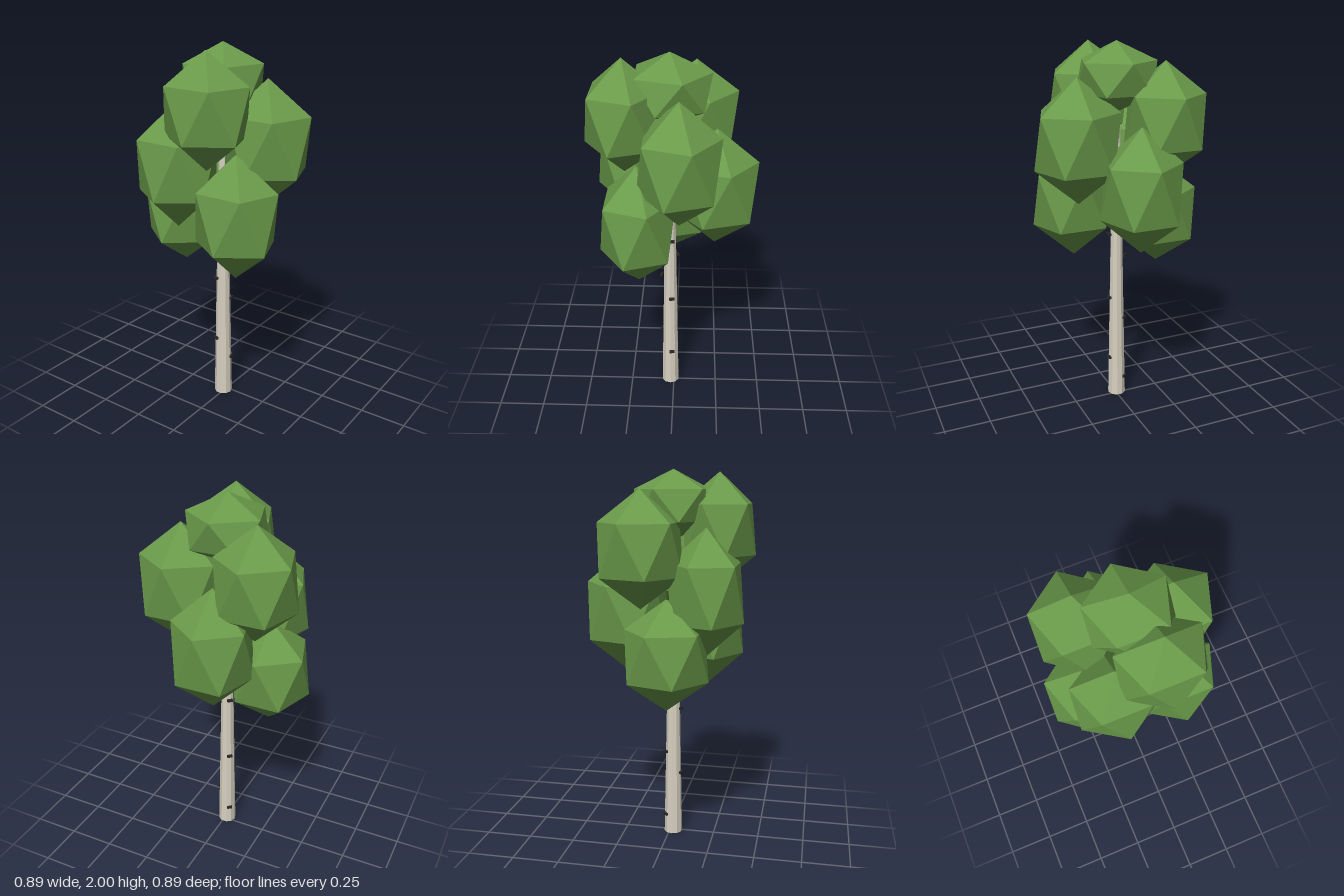
import * as THREE from 'three';
import { toCreasedNormals } from 'three/addons/utils/BufferGeometryUtils.js';

function material(name, color) {
  const m = new THREE.MeshStandardMaterial({ color });
  m.name = name;
  return m;
}

export function createModel() {
  const tree = new THREE.Group();
  tree.name = 'tree';
  const bark = material('pale bark', 0xd6d0c0);
  const dark = material('dark bark marks', 0x2b2826);
  const leaf = material('leaf green', 0x6a9a4a);
  const axisX = -0.02, axisZ = -0.01;

  // Tapered, faceted trunk
  const height = 1.6;
  const trunk = new THREE.Mesh(
    toCreasedNormals(new THREE.CylinderGeometry(0.021, 0.05, height, 10), 0.1), bark);
  trunk.name = 'trunk';
  trunk.position.set(axisX, height / 2, axisZ);
  tree.add(trunk);

  // Bark marks spiralling up the trunk, a third of a turn apart
  const markGeometry = new THREE.BoxGeometry(0.03, 0.014, 0.012);
  for (let i = 0; i < 8; i++) {
    const angle = THREE.MathUtils.degToRad(131 - 120 * i);
    const mark = new THREE.Mesh(markGeometry, dark);
    mark.name = `barkMark${i + 1}`;
    mark.position.set(axisX + 0.05 * Math.sin(angle), 0.11 + 0.1245 * i, axisZ + 0.05 * Math.cos(angle));
    mark.rotation.y = angle;
    tree.add(mark);
  }

  // Icosahedron standing on a corner, with an upper-ring corner towards +x
  const clump = new THREE.IcosahedronGeometry(1, 0);
  clump.rotateX(-Math.atan((1 + Math.sqrt(5)) / 2));
  clump.rotateY(Math.PI / 2);

  // Leaf clumps: centre x, y, z, then radius in x, y, z
  const clumps = [
    [-0.02, 1.82, -0.01, 0.235, 0.18, 0.235],
    [0.11, 1.605, -0.225, 0.247, 0.3, 0.235],
    [-0.25, 1.695, 0.053, 0.218, 0.293, 0.248],
    [0.03, 1.51, 0.225, 0.235, 0.325, 0.25],
    [0.22, 1.27, -0.045, 0.247, 0.33, 0.235],
    [-0.18, 1.16, 0.18, 0.22, 0.33, 0.247],
    [-0.03, 1.075, -0.255, 0.245, 0.29, 0.235],
    [-0.215, 1.385, -0.16, 0.22, 0.33, 0.245],
  ];
  clumps.forEach(([x, y, z, rx, ry, rz], i) => {
    const mesh = new THREE.Mesh(clump, leaf);
    mesh.name = `leafClump${i + 1}`;
    mesh.position.set(x, y, z);
    mesh.scale.set(rx, ry, rz);
    tree.add(mesh);
  });

  return tree;
}
